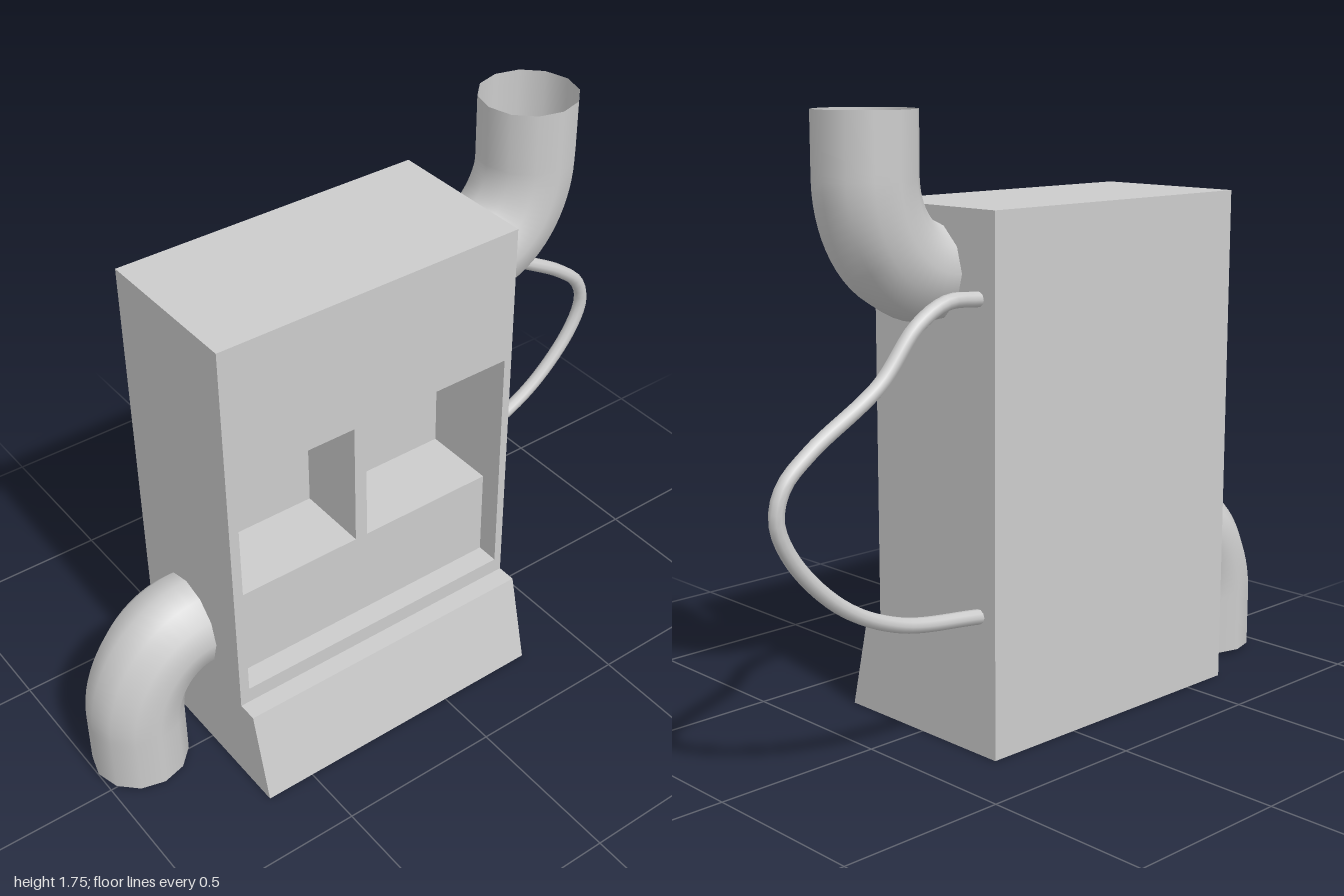
import * as THREE from 'three';

const V = (x, y, z) => new THREE.Vector3(x, y, z);

// Quads joining two matching lists of points
function strip(a, b) {
  const pos = [];
  for (let i = 0; i < a.length - 1; i++) {
    for (const p of [a[i], a[i + 1], b[i + 1], a[i], b[i + 1], b[i]]) pos.push(p.x, p.y, p.z);
  }
  const g = new THREE.BufferGeometry();
  g.setAttribute('position', new THREE.Float32BufferAttribute(pos, 3));
  g.computeVertexNormals();
  return g;
}

const shapeOf = (pts) => new THREE.Shape(pts.map(([x, y]) => new THREE.Vector2(x, y)));
const rect = (x0, x1, y0, y1) => [[x0, y0], [x1, y0], [x1, y1], [x0, y1]];

// Inward-facing walls of a rectangular recess
function recessWalls(r, zFront, zBack) {
  const loop = [...r, r[0]];
  return strip(loop.map(([x, y]) => V(x, y, zFront)), loop.map(([x, y]) => V(x, y, zBack)));
}

export function createModel() {
  const model = new THREE.Group();
  model.name = 'machine';
  const grey = new THREE.MeshStandardMaterial({ color: 0xcccccc, side: THREE.DoubleSide });
  grey.name = 'light grey';
  const add = (parent, name, geometry) => {
    const mesh = new THREE.Mesh(geometry, grey);
    mesh.name = name;
    parent.add(mesh);
    return mesh;
  };

  // Cabinet shell with sloping plinth
  const cabinet = new THREE.Group();
  cabinet.name = 'cabinet';
  model.add(cabinet);
  const xL = -0.65, xR = 0.31, zF = 0.18, zPanel = 0.11, zBack = -0.12;
  const profile = [[zF, 1.5], [-0.3, 1.5], [-0.3, 0], [0.305, 0], [0.24, 0.28], [zF, 0.28]];
  add(cabinet, 'shell', strip(
    profile.map(([z, y]) => V(xR, y, z)), profile.map(([z, y]) => V(xL, y, z))));
  add(cabinet, 'leftSide', new THREE.ShapeGeometry(shapeOf(profile.map(([z, y]) => [-z, y])))
    .rotateY(Math.PI / 2).translate(xR, 0, 0));
  add(cabinet, 'rightSide', new THREE.ShapeGeometry(shapeOf(profile))
    .rotateY(-Math.PI / 2).translate(xL, 0, 0));

  // Front frame around the shallow recess
  const opening = rect(-0.62, 0.285, 0.33, 1.08);
  const frame = shapeOf(rect(xL, xR, 0.28, 1.5));
  frame.holes.push(shapeOf(opening));
  add(cabinet, 'frontFrame', new THREE.ShapeGeometry(frame).translate(0, 0, zF));
  add(cabinet, 'recessWalls', recessWalls(opening, zF, zPanel));

  // Lower panel with the divider between compartments
  add(cabinet, 'lowerPanel', new THREE.ShapeGeometry(shapeOf([
    [-0.62, 0.33], [0.285, 0.33], [0.285, 0.615], [-0.15, 0.615],
    [-0.15, 1.08], [-0.19, 1.08], [-0.19, 0.615], [-0.62, 0.615],
  ])).translate(0, 0, zPanel));

  // Two deep compartments, each with a strip under its ceiling
  for (const [x0, x1] of [[-0.62, -0.19], [-0.15, 0.285]]) {
    const r = rect(x0, x1, 0.615, 1.08);
    add(cabinet, 'compartmentWalls', recessWalls(r, zPanel, zBack));
    add(cabinet, 'compartmentBack', new THREE.ShapeGeometry(shapeOf(r)).translate(0, 0, zBack));
    add(cabinet, 'ceilingStrip', new THREE.BoxGeometry(0.335, 0.02, 0.12)
      .translate((x0 + x1) / 2, 1.07, 0));
  }

  // Open elbow pipe, used upright and turned upside down
  const path = new THREE.CurvePath();
  path.add(new THREE.CubicBezierCurve3(V(0, 0, 0), V(0.12, 0, 0), V(0.205, 0.125, 0), V(0.205, 0.255, 0)));
  path.add(new THREE.LineCurve3(V(0.205, 0.255, 0), V(0.205, 0.43, 0)));
  const elbow = new THREE.TubeGeometry(path, 24, 0.142, 12, false);
  add(model, 'upperPipe', elbow).position.set(xR, 1.325, -0.033);
  const lower = add(model, 'lowerPipe', elbow);
  lower.position.set(-0.655, 0.44, -0.067);
  lower.rotation.z = Math.PI;

  // Loose cable looping out of the side
  const cable = new THREE.CatmullRomCurve3([
    [0.31, 1.265], [0.42, 1.267], [0.525, 1.215], [0.65, 1.08], [0.87, 0.945], [0.955, 0.87],
    [0.977, 0.79], [0.93, 0.68], [0.78, 0.53], [0.59, 0.44], [0.31, 0.398],
  ].map(([x, y]) => V(x, y, -0.237)));
  add(model, 'cable', new THREE.TubeGeometry(cable, 60, 0.021, 10, false));

  return model;
}
